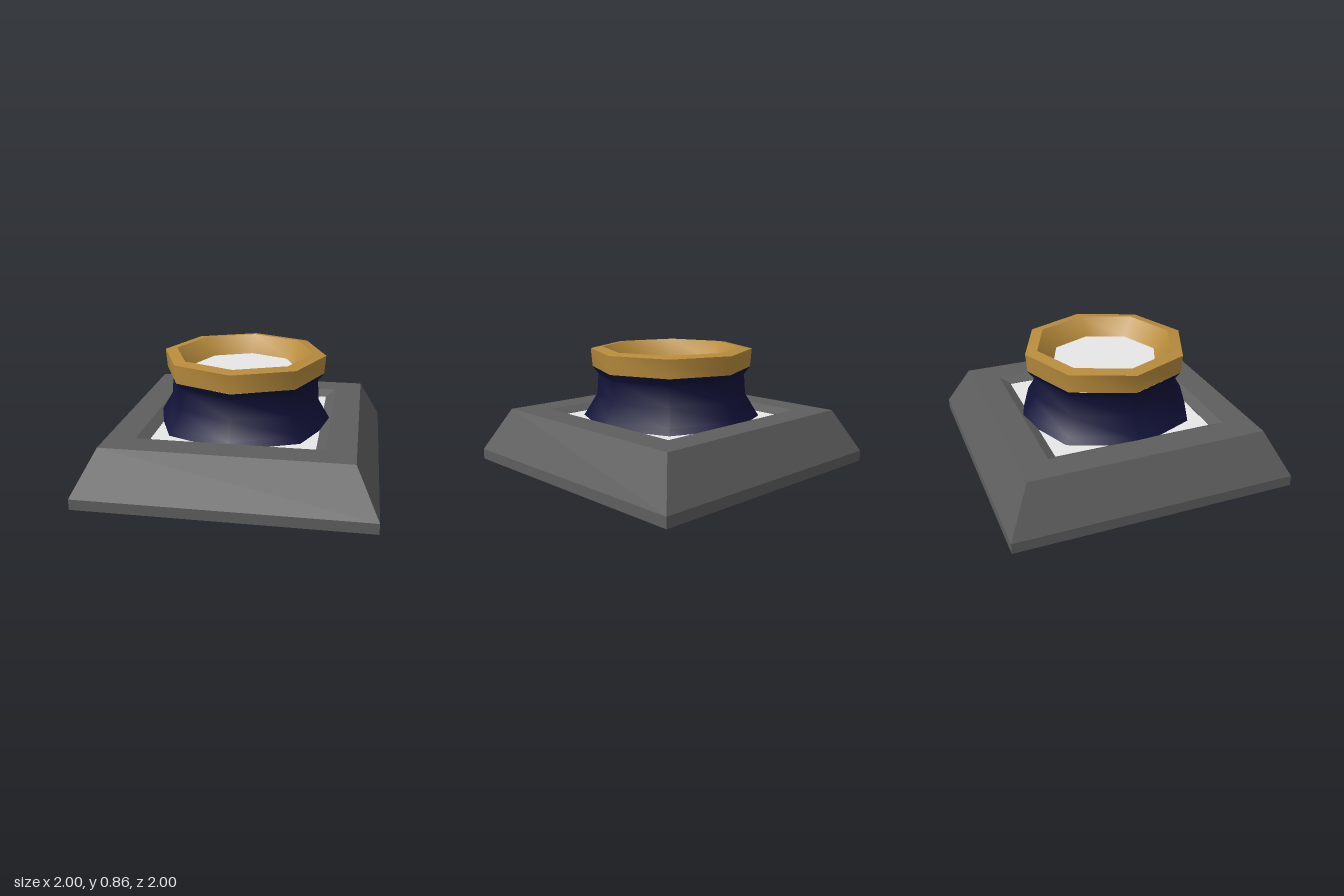
import * as THREE from 'three';
import { toCreasedNormals } from 'three/addons/utils/BufferGeometryUtils.js';

const material = (name, color, side = THREE.FrontSide) => {
  const m = new THREE.MeshStandardMaterial({ color, side });
  m.name = name;
  return m;
};

// Revolve [radius, height] pairs with few sides, keeping sharp edges past the crease angle
function turned(points, sides, crease) {
  const profile = points.map(([r, y]) => new THREE.Vector2(r, y));
  return toCreasedNormals(new THREE.LatheGeometry(profile, sides), crease);
}

export function createModel() {
  const grey = material('darkGrey', 0x5e5e5e, THREE.DoubleSide);
  const navy = material('navy', 0x12123a);
  const gold = material('gold', 0xb78b3c);
  const white = material('white', 0xffffff, THREE.DoubleSide);

  const group = new THREE.Group();
  group.name = 'pedestalButton';
  const add = (name, geometry, mat, y = 0) => {
    const mesh = new THREE.Mesh(geometry, mat);
    mesh.name = name;
    mesh.position.y = y;
    group.add(mesh);
  };

  // Square base: open shell with sloping sides, flat top and a bevelled opening
  const half = [[1, 0], [1, 0.075], [0.84, 0.385], [0.64, 0.385], [0.57, 0.345]];
  const base = turned(half.map(([w, y]) => [w * Math.SQRT2, y]), 4, 0.1);
  base.rotateY(Math.PI / 4);
  add('baseFrame', base, grey);

  // Pale panel filling the opening around the body
  add('basePanel', new THREE.PlaneGeometry(1.14, 1.14).rotateX(-Math.PI / 2), white, 0.343);

  // Eight-sided waisted body, closed underneath
  add('body', turned([[0, 0.1], [0.8, 0.1], [0.62, 0.385], [0.545, 0.51],
    [0.535, 0.655], [0.578, 0.71]], 8, 0.87), navy);

  // Rim with a funnel-shaped inside
  add('rim', turned([[0.535, 0.71], [0.577, 0.71], [0.588, 0.842], [0.5, 0.855],
    [0.39, 0.73]], 8, 0.87), gold);

  // Pale lid at the bottom of the funnel
  const lid = new THREE.CircleGeometry(0.39, 8).rotateX(-Math.PI / 2);
  add('lid', lid, white, 0.73);

  return group;
}
